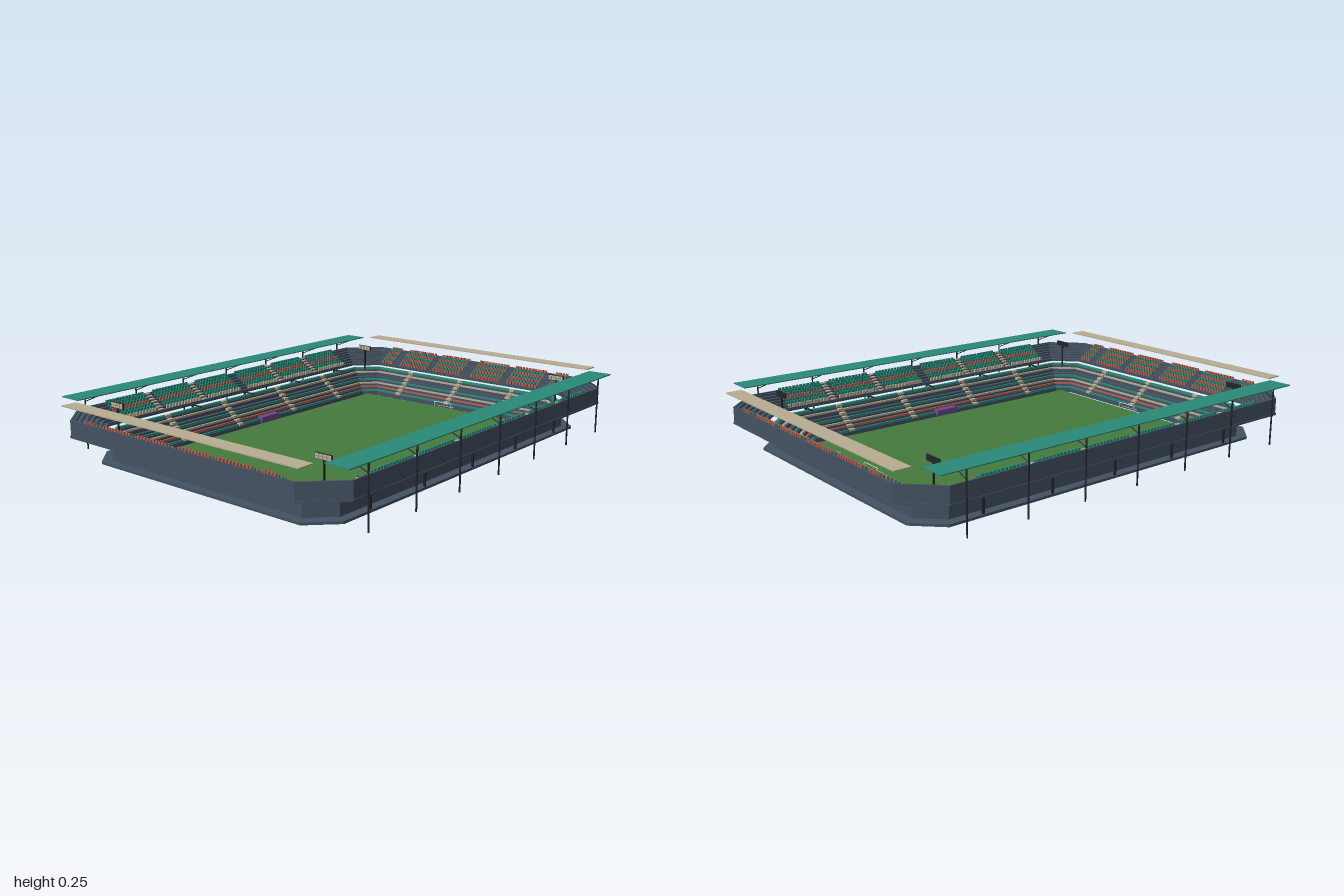
import * as THREE from 'three';
import { mergeGeometries } from 'three/addons/utils/BufferGeometryUtils.js';

const mat = (name, color) => {
  const m = new THREE.MeshStandardMaterial({ color });
  m.name = name;
  return m;
};

// Corner points of the eight-sided plan, grown outwards by d
function plan(d) {
  const x = 0.475 + d, z = 0.73 + d, c = 0.05 + 0.33 * d;
  return [[x, c - z], [x, z - c], [x - c, z], [c - x, z], [-x, z - c], [-x, c - z], [c - x, -z], [x - c, -z]];
}

// Sweep a closed profile of [d, y] points around the plan
function ring(profile) {
  const pos = [];
  const rows = profile.map(([d, y]) => plan(d).map(([x, z]) => [x, y, z]));
  rows.forEach((row, i) => {
    const next = rows[(i + 1) % rows.length];
    for (let k = 0; k < 8; k++) {
      const n = (k + 1) % 8;
      pos.push(...row[k], ...next[k], ...next[n], ...row[k], ...next[n], ...row[n]);
    }
  });
  const g = new THREE.BufferGeometry();
  g.setAttribute('position', new THREE.Float32BufferAttribute(pos, 3));
  g.computeVertexNormals();
  return g;
}

const band = (d0, d1, y0, y1) => ring([[d0, y0], [d1, y0], [d1, y1], [d0, y1]]);

// Stepped seating bank
function terrace(t) {
  const p = [[t.d0, t.base], [t.d1, t.base]];
  for (let i = t.rows - 1; i >= 0; i--) {
    p.push([tread(t, i + 1).d, tread(t, i).y], [tread(t, i).d, tread(t, i).y]);
  }
  return ring(p);
}

const tread = (t, i) => ({
  d: t.d0 + (t.d1 - t.d0) * i / t.rows,
  y: t.y0 + (t.y1 - t.y0) * i / (t.rows - 1),
});

const box = (w, h, d, x, y, z) => new THREE.BoxGeometry(w, h, d).translate(x, y, z);

// Thin round bar between two points
function bar(a, b, r) {
  const A = new THREE.Vector3(...a), B = new THREE.Vector3(...b);
  return new THREE.TubeGeometry(new THREE.LineCurve3(A, B), 1, r, 6);
}

export function createModel() {
  const root = new THREE.Group();
  root.name = 'stadium';
  const M = {
    slate: mat('slate concrete', 0x445262),
    teal: mat('teal', 0x2a8a78),
    sand: mat('sand', 0xb8ad92),
    red: mat('brick red', 0xb55a4c),
    steel: mat('dark steel', 0x20262c),
    grass: mat('grass', 0x447a3e),
    purple: mat('purple', 0x6e4a92),
    white: mat('white', 0xe8e8e8),
  };
  const add = (name, material, ...geos) => {
    const mesh = new THREE.Mesh(geos.length > 1 ? mergeGeometries(geos) : geos[0], material);
    mesh.name = name;
    root.add(mesh);
  };
  const sides = [-1, 1];

  add('pitch', M.grass, box(0.92, 0.006, 1.4, 0, 0.006, 0));

  // Banks, slabs and walls
  const lower = { d0: 0, d1: 0.127, rows: 7, base: 0.01, y0: 0.02, y1: 0.106 };
  const upper = { d0: 0.152, d1: 0.255, rows: 7, base: 0.125, y0: 0.13, y1: 0.184 };
  add('baseSlab', M.slate, band(0, 0.165, 0, 0.01));
  add('lowerBank', M.slate, terrace(lower));
  add('lowerRim', M.teal, band(0.119, 0.129, 0.106, 0.115));
  add('upperSlab', M.slate, band(0.15, 0.26, 0.117, 0.125));
  add('upperBank', M.slate, terrace(upper));
  add('parapet', M.slate, band(0.25, 0.257, 0.125, 0.189));

  // Continuous seat rows of the lower bank
  ['teal', 'red', 'sand', 'teal', 'sand', 'teal'].forEach((c, i) => {
    const { d, y } = tread(lower, i + (i > 3 ? 1 : 0));
    add('lowerSeatRow', M[c], band(d + 0.005, d + 0.014, y, y + 0.007));
  });

  // Aisles climbing the lower bank
  const aisles = [];
  for (let i = 0; i < lower.rows; i++) {
    const { d, y } = tread(lower, i), w = 0.0181;
    for (const s of sides) {
      for (const x of [-0.295, 0, 0.295]) aisles.push(box(0.026, 0.012, w, x, y + 0.004, s * (0.73 + d + w / 2)));
      for (const z of [-0.5, -0.175, 0.175, 0.5]) aisles.push(box(w, 0.012, 0.026, s * (0.475 + d + w / 2), y + 0.004, z));
    }
  }
  add('lowerAisles', M.sand, ...aisles);

  // Separate seats and aisles of the upper bank
  const seats = { teal: [], red: [], sand: [] };
  const endColors = ['red', 'teal', 'red', 'teal', 'red', 'teal', 'red'];
  const sideColors = ['sand', 'teal', 'teal', 'red', 'teal', 'teal', 'teal'];
  const endBlocks = [[0.03, 0.2], [0.235, 0.405], [0.45, 0.51]];
  const sideBlocks = [[0.025, 0.225], [0.27, 0.475], [0.52, 0.72]];
  const pitch = 0.017, upperAisles = [];
  for (let i = 0; i < upper.rows; i++) {
    const { d, y } = tread(upper, i), o = d + 0.008;
    for (const s of sides) for (const m of sides) {
      for (const [a, b] of endBlocks) {
        for (let u = a + 0.006; u < b; u += pitch) seats[endColors[i]].push(box(0.011, 0.015, 0.007, m * u, y + 0.0075, s * (0.73 + o)));
      }
      for (const [a, b] of sideBlocks) {
        for (let u = a + 0.006; u < b; u += pitch) seats[sideColors[i]].push(box(0.007, 0.015, 0.011, s * (0.475 + o), y + 0.0075, m * u));
      }
      for (const z of [0.2475, 0.4975]) upperAisles.push(box(0.0145, 0.006, 0.024, s * (0.475 + d + 0.0075), y + 0.002, m * z));
    }
  }
  for (const c in seats) add(c + 'UpperSeats', M[c], ...seats[c]);
  add('upperAisles', M.sand, ...upperAisles);

  // Roofs
  for (const s of sides) {
    add('sideRoof', M.teal, box(0.105, 0.004, 1.81, s * 0.7075, 0.244, 0));
    add('endRoof', M.sand, box(1.26, 0.004, 0.07, 0, 0.244, s * 0.965));
  }

  // Roof posts with struts, columns and beams under the upper bank
  const posts = [], columns = [];
  for (const s of sides) {
    for (const z of [-0.8, -0.535, -0.267, 0, 0.267, 0.535, 0.8]) {
      posts.push(bar([s * 0.753, 0, z], [s * 0.753, 0.243, z], 0.0035));
      posts.push(bar([s * 0.753, 0.205, z], [s * 0.66, 0.243, z], 0.002));
    }
    for (const z of [-0.64, -0.32, 0, 0.32, 0.64]) {
      columns.push(box(0.008, 0.117, 0.008, s * 0.633, 0.0585, z));
      columns.push(box(0.07, 0.005, 0.005, s * 0.61, 0.117, z));
    }
  }
  add('roofPosts', M.steel, ...posts);
  add('columns', M.steel, ...columns);

  // Corner floodlights
  const frames = [], lamps = [];
  for (const sx of sides) for (const sz of sides) {
    const x = sx * 0.552, z = sz * 0.79;
    frames.push(box(0.006, 0.12, 0.006, x, 0.155, z), box(0.076, 0.023, 0.006, x, 0.219, z));
    for (let i = 0; i < 4; i++) for (let j = 0; j < 2; j++) {
      lamps.push(box(0.016, 0.009, 0.003, x + (i - 1.5) * 0.018, 0.214 + j * 0.0105, z + 0.004));
    }
  }
  add('floodlightMasts', M.steel, ...frames);
  add('floodlightLamps', M.sand, ...lamps);

  // Team benches and goals
  for (const s of sides) {
    add('teamBench', M.purple, box(0.034, 0.024, 0.11, s * 0.483, 0.022, 0));
    const f = s * 0.702, b = s * 0.724, g = [];
    for (const m of sides) {
      g.push(bar([m * 0.048, 0.009, f], [m * 0.048, 0.033, f], 0.0015));
      g.push(bar([m * 0.048, 0.033, f], [m * 0.048, 0.01, b], 0.001));
    }
    g.push(bar([-0.048, 0.033, f], [0.048, 0.033, f], 0.0015), bar([-0.048, 0.01, b], [0.048, 0.01, b], 0.001));
    add('goal', M.white, ...g);
  }
  return root;
}
